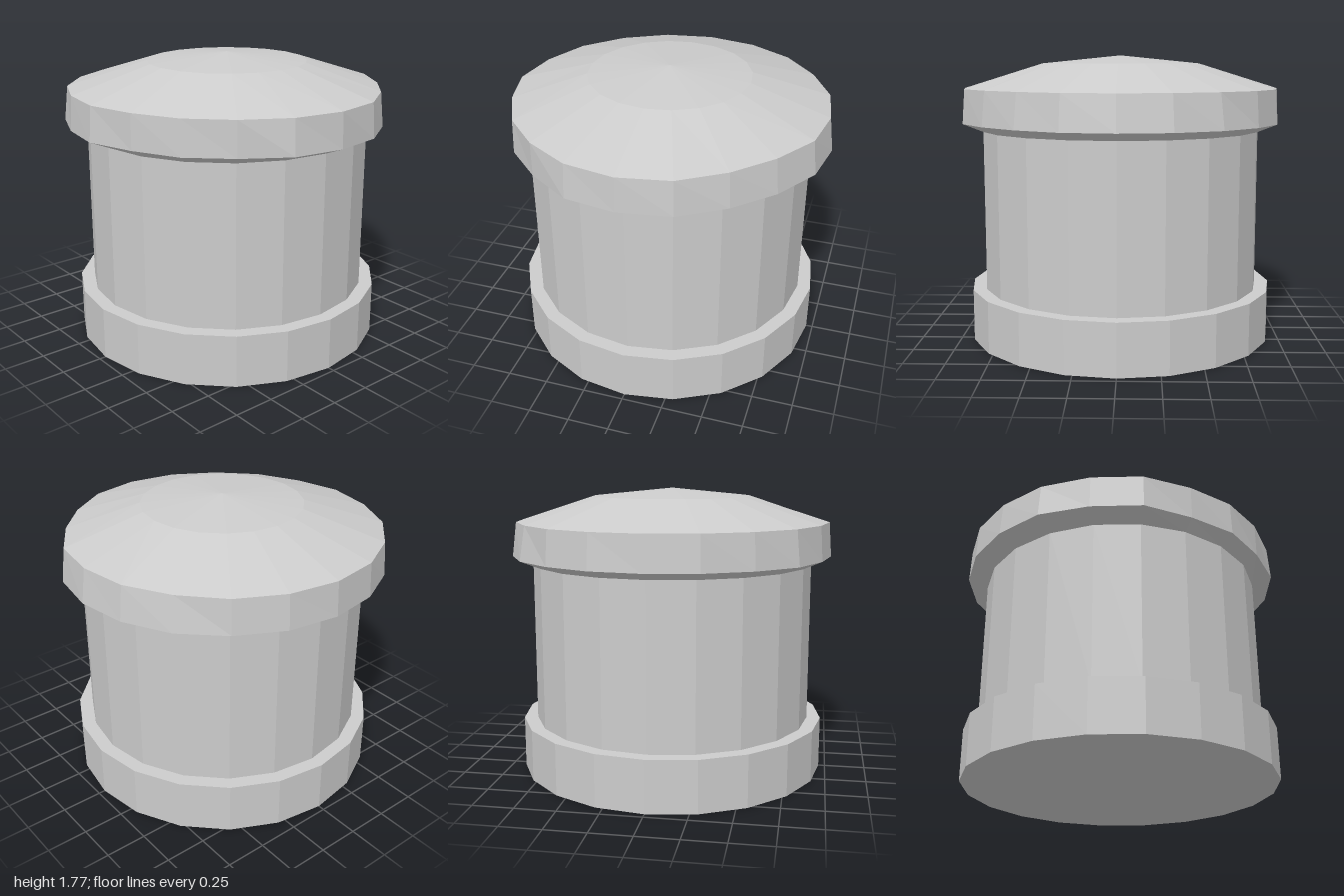
import * as THREE from 'three';

const SIDES = 20;

// Hand-hewn radii of the cap's rim, starting at +x and turning towards +z
const RIM_LOWER = [1, 1, 0.965, 0.97, 0.958, 0.995, 0.99, 1.01, 1, 1,
  1, 1, 0.994, 1, 1, 1, 0.998, 0.972, 0.972, 1];
const RIM_UPPER = [0.992, 0.985, 0.965, 0.962, 0.956, 0.98, 0.977, 0.987, 0.985, 0.99,
  0.99, 0.985, 0.98, 0.967, 0.975, 0.973, 0.975, 0.947, 0.952, 0.985];

export function createModel() {
  const group = new THREE.Group();
  const material = new THREE.MeshStandardMaterial({ color: 0xcccccc, flatShading: true });

  // Faceted turned part from [radius, height] pairs, bottom to top
  const turned = (name, profile) => {
    const points = profile.map(([r, y]) => new THREE.Vector2(r, y));
    const mesh = new THREE.Mesh(new THREE.LatheGeometry(points, SIDES), material);
    mesh.name = name;
    group.add(mesh);
    return mesh;
  };

  turned('base', [[0, 0], [0.96, 0], [0.96, 0.32], [0.86, 0.32]]);
  turned('drum', [[0.875, 0.31], [0.875, 1.32]]);
  const cap = turned('cap', [[0.8, 1.31], [0.875, 1.31], [1, 1.36], [0.985, 1.57], [0.495, 1.725], [0, 1.775]]);

  // Uneven rim of the cap
  const pos = cap.geometry.attributes.position;
  for (let i = 0; i < pos.count; i++) {
    const x = pos.getX(i), y = pos.getY(i), z = pos.getZ(i);
    const rim = Math.abs(y - 1.36) < 0.01 ? RIM_LOWER : Math.abs(y - 1.57) < 0.01 ? RIM_UPPER : null;
    if (!rim) continue;
    const angle = Math.atan2(z, x);
    const k = (Math.round(angle / (2 * Math.PI) * SIDES) + SIDES) % SIDES;
    pos.setXYZ(i, rim[k] * Math.cos(angle), y, rim[k] * Math.sin(angle));
  }
  cap.geometry.computeVertexNormals();

  return group;
}
